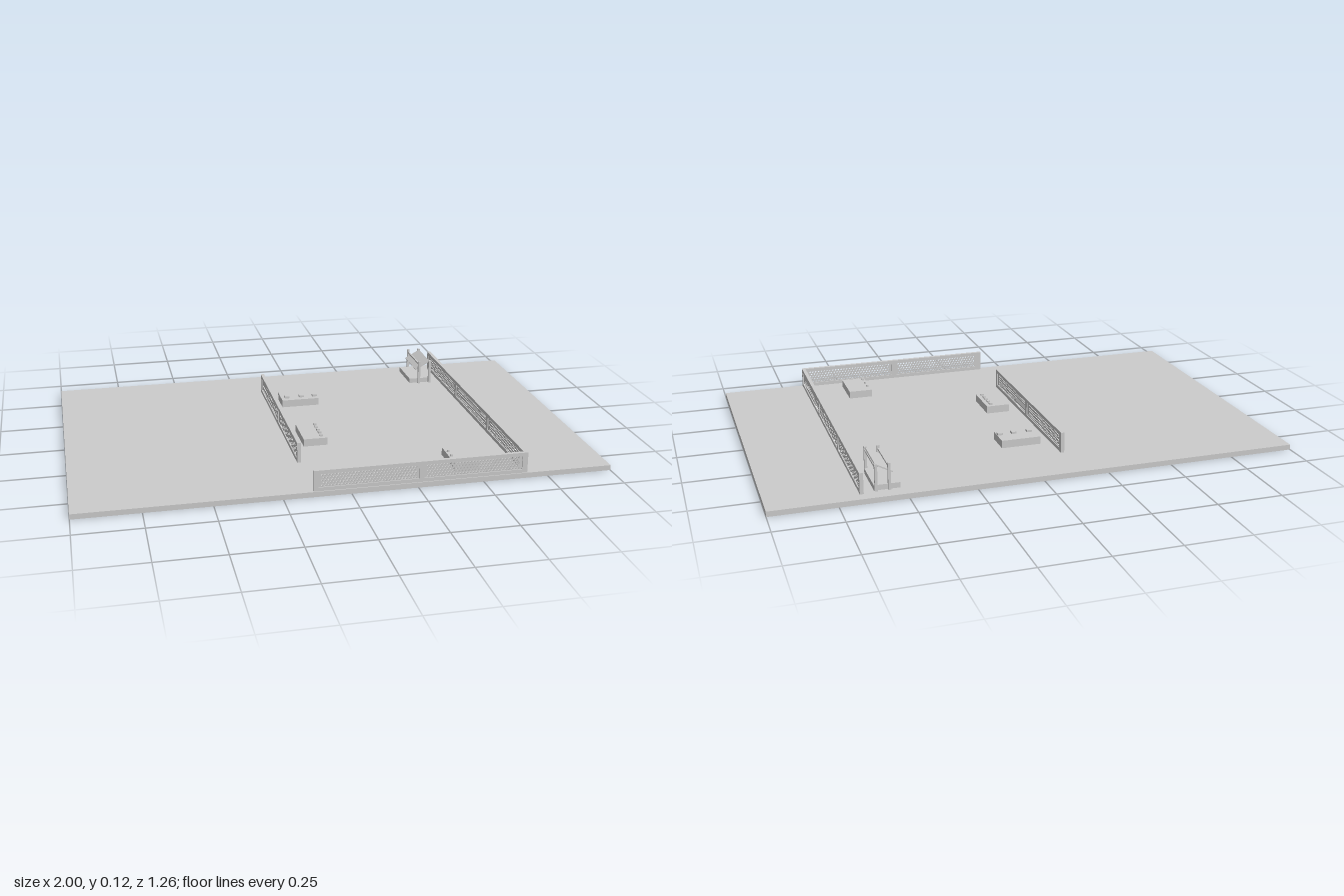
import * as THREE from 'three';

const material = new THREE.MeshStandardMaterial({ color: 0xcccccc, flatShading: true });
const BASE_TOP = 0.02;

function addMesh(parent, name, geometry, x = 0, y = 0, z = 0) {
  const mesh = new THREE.Mesh(geometry, material);
  mesh.name = name;
  mesh.position.set(x, y, z);
  parent.add(mesh);
  return mesh;
}

// Box given by its minimum and maximum corners
function addBox(parent, name, [x0, y0, z0], [x1, y1, z1]) {
  return addMesh(parent, name, new THREE.BoxGeometry(x1 - x0, y1 - y0, z1 - z0),
    (x0 + x1) / 2, (y0 + y1) / 2, (z0 + z1) / 2);
}

function rectangle(target, x0, y0, x1, y1) {
  target.moveTo(x0, y0);
  target.lineTo(x1, y0);
  target.lineTo(x1, y1);
  target.lineTo(x0, y1);
  target.closePath();
  return target;
}

function extrude(shape, depth) {
  return new THREE.ExtrudeGeometry(shape, { depth, bevelEnabled: false, curveSegments: 4 });
}

// Thin sheet with staggered diamond perforations
function perforatedSheet(x0, y0, x1, y1, depth) {
  const shape = rectangle(new THREE.Shape(), x0, y0, x1, y1);
  const pitch = 0.0125, radius = 0.0045, rows = 5;
  const columns = Math.floor((x1 - x0 - 0.012) / pitch);
  const start = (x0 + x1 - (columns - 1) * pitch) / 2;
  for (let row = 0; row < rows; row++) {
    const cy = y0 + (row + 0.5) * (y1 - y0) / rows;
    const odd = row % 2;
    for (let i = 0; i < columns - odd; i++) {
      const cx = start + (i + odd / 2) * pitch;
      const hole = new THREE.Path();
      hole.moveTo(cx + radius, cy);
      hole.lineTo(cx, cy - radius);
      hole.lineTo(cx - radius, cy);
      hole.lineTo(cx, cy + radius);
      hole.closePath();
      shape.holes.push(hole);
    }
  }
  return extrude(shape, depth);
}

// Barrier: solid frame with recessed perforated panels, built along local x
function makeBarrier(name, length, panels) {
  const barrier = new THREE.Group();
  barrier.name = name;
  const height = 0.08, depth = 0.014, gap = 0.018;
  const frame = rectangle(new THREE.Shape(), 0, 0, length, height);
  const width = (length - gap * (panels + 1)) / panels;
  for (let i = 0; i < panels; i++) {
    const x0 = gap + i * (width + gap);
    frame.holes.push(rectangle(new THREE.Path(), x0, 0.014, x0 + width, 0.066));
    addMesh(barrier, 'perforatedPanel', perforatedSheet(x0, 0.014, x0 + width, 0.066, 0.006), 0, 0, 0.004);
  }
  addMesh(barrier, 'barrierFrame', extrude(frame, depth));
  return barrier;
}

// Low cabinet with small controls on its top
function makeCabinet(name, x0, z0, x1, z1, controls, size) {
  const cabinet = new THREE.Group();
  cabinet.name = name;
  const top = 0.05;
  addBox(cabinet, 'cabinetBody', [x0, BASE_TOP, z0], [x1, top, z1]);
  for (const [x, z] of controls) {
    addMesh(cabinet, 'control', new THREE.BoxGeometry(size, 0.008, size), x, top + 0.004, z);
  }
  return cabinet;
}

export function createModel() {
  const model = new THREE.Group();
  model.name = 'fencedPlatform';

  addBox(model, 'floorPlate', [-1, 0, -0.63], [1, BASE_TOP, 0.63]);

  // Barriers around the work area
  const front = makeBarrier('frontBarrier', 0.806, 2);
  front.position.set(-0.14, BASE_TOP, 0.612);
  const left = makeBarrier('leftBarrier', 1.214, 3);
  left.rotation.y = Math.PI / 2;
  left.position.set(0.655, BASE_TOP, 0.626);
  const inner = makeBarrier('innerBarrier', 0.8, 2);
  inner.rotation.y = Math.PI / 2;
  inner.position.set(-0.146, BASE_TOP, 0.36);
  model.add(front, left, inner);

  // Cabinets
  model.add(
    makeCabinet('rearCabinet', -0.09, -0.33, 0.065, -0.23,
      [-0.065, -0.003, 0.053].map((x) => [x, -0.263]), 0.02),
    makeCabinet('middleCabinet', -0.09, 0.05, 0.005, 0.21,
      [0.07, 0.1, 0.13, 0.157, 0.187].map((z) => [-0.016, z]), 0.012),
    makeCabinet('frontCabinet', 0.41, 0.4, 0.505, 0.56,
      [0.445, 0.487, 0.535].map((z) => [0.42, z]), 0.008));

  // Bench with posts, rails and a tilted board
  const bench = new THREE.Group();
  bench.name = 'bench';
  addBox(bench, 'benchBase', [0.52, BASE_TOP, -0.57], [0.615, 0.04, -0.41]);
  for (const x of [0.56, 0.608]) {
    for (const z of [-0.575, -0.402]) {
      addBox(bench, 'post', [x - 0.005, BASE_TOP, z - 0.005], [x + 0.005, 0.122, z + 0.005]);
    }
    addBox(bench, 'rail', [x - 0.003, 0.105, -0.57], [x + 0.003, 0.112, -0.407]);
  }
  const board = addMesh(bench, 'tiltedBoard', new THREE.BoxGeometry(0.073, 0.005, 0.16), 0.577, 0.1, -0.488);
  board.rotation.z = 0.5;
  model.add(bench);

  return model;
}
